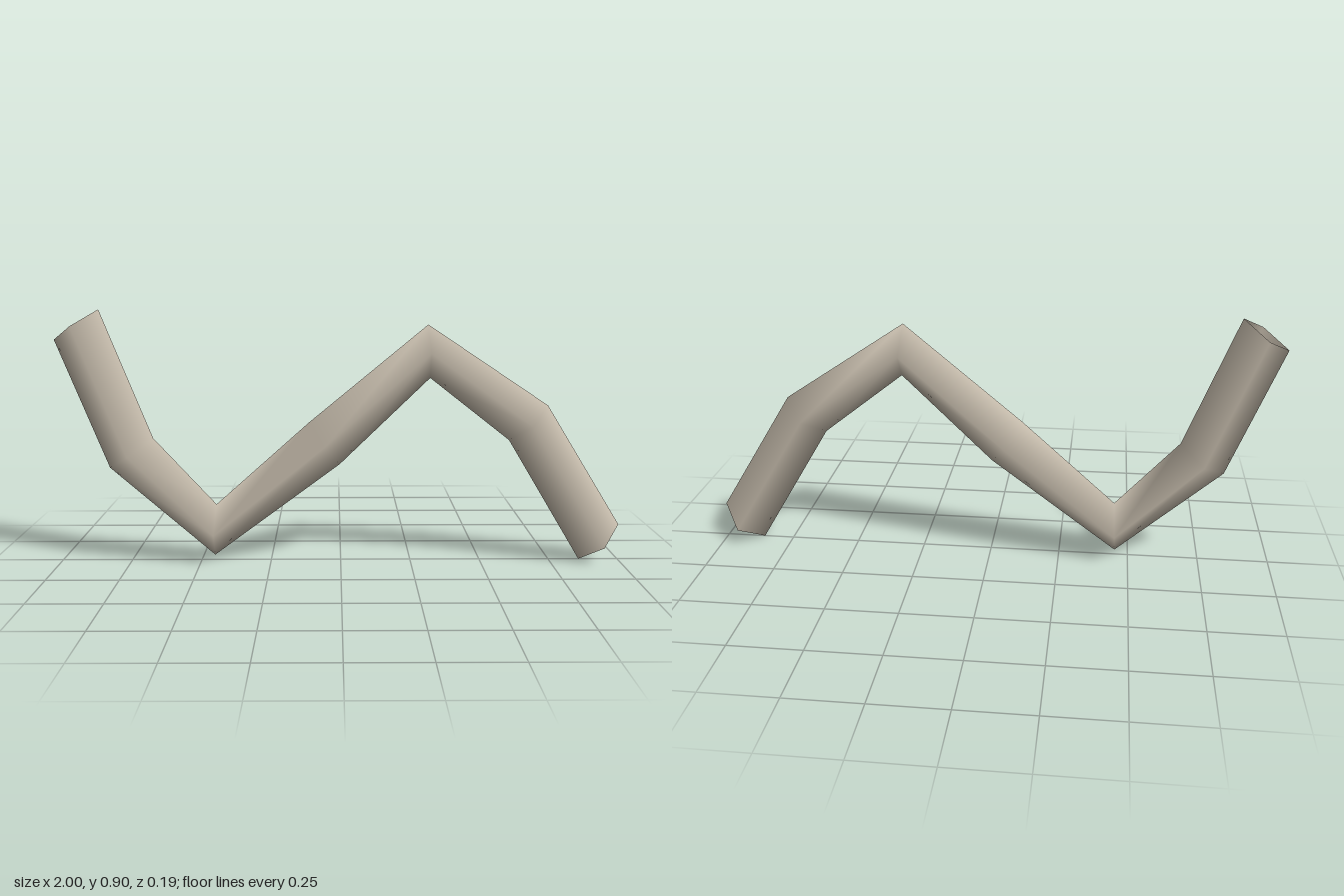
import * as THREE from 'three';

// Cross-sections along the bent pipe: [upper x, upper y, lower x, lower y]
const SECTIONS = [
  [-0.842, 0.9, -1, 0.795],
  [-0.664, 0.446, -0.82, 0.34],
  [-0.444, 0.206, -0.452, 0.02],
  [-0.112, 0.502, -0.003, 0.352],
  [0.306, 0.847, 0.315, 0.66],
  [0.733, 0.562, 0.598, 0.438],
  [1, 0.13, 0.86, 0.002],
];
const HALF_DEPTH = 0.094;

// Four-sided open tube with smooth radial normals
function bentTube(sections, halfDepth) {
  const positions = [], normals = [], index = [];
  for (const [ux, uy, lx, ly] of sections) {
    const cx = (ux + lx) / 2, cy = (uy + ly) / 2;
    const up = new THREE.Vector3(ux - lx, uy - ly, 0).normalize();
    // corners in order: front, upper, back, lower
    positions.push(cx, cy, halfDepth, ux, uy, 0, cx, cy, -halfDepth, lx, ly, 0);
    normals.push(0, 0, 1, up.x, up.y, 0, 0, 0, -1, -up.x, -up.y, 0);
  }
  for (let i = 0; i < sections.length - 1; i++) {
    for (let j = 0; j < 4; j++) {
      const k = (j + 1) % 4;
      const a = i * 4 + j, b = a + 4, c = (i + 1) * 4 + k, d = i * 4 + k;
      index.push(a, b, c, a, c, d);
    }
  }
  const geometry = new THREE.BufferGeometry();
  geometry.setAttribute('position', new THREE.Float32BufferAttribute(positions, 3));
  geometry.setAttribute('normal', new THREE.Float32BufferAttribute(normals, 3));
  geometry.setIndex(index);
  return geometry;
}

export function createModel() {
  const group = new THREE.Group();
  group.name = 'bentPipe';

  const paleStone = new THREE.MeshStandardMaterial({ color: 0xc8beae, side: THREE.DoubleSide });
  paleStone.name = 'pale stone';

  const pipe = new THREE.Mesh(bentTube(SECTIONS, HALF_DEPTH), paleStone);
  pipe.name = 'pipe';
  group.add(pipe);
  return group;
}
